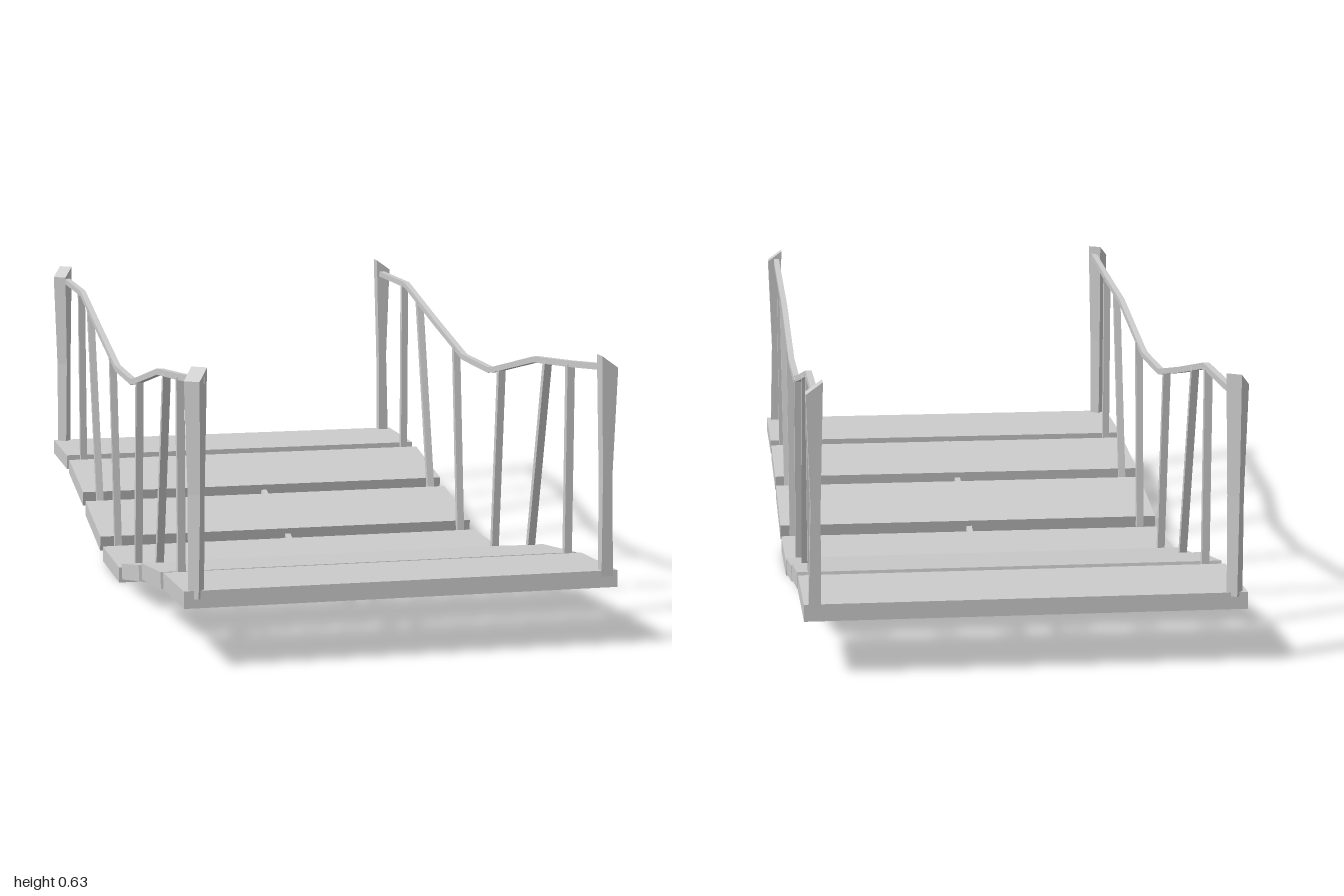
import * as THREE from 'three';

const mat = new THREE.MeshStandardMaterial({ color: 0xcccccc, flatShading: true });

function add(parent, geometry, name) {
  const mesh = new THREE.Mesh(geometry, mat);
  mesh.name = name;
  parent.add(mesh);
  return mesh;
}

// Square bar running through [z, y] points, centred on x
function ribbon(points, x, size) {
  const h = size / 2;
  const upper = points.map(([z, y]) => new THREE.Vector2(z, y + h));
  const lower = points.map(([z, y]) => new THREE.Vector2(z, y - h)).reverse();
  const geo = new THREE.ExtrudeGeometry(new THREE.Shape([...upper, ...lower]), { depth: size, bevelEnabled: false });
  return geo.rotateY(-Math.PI / 2).translate(x + h, 0, 0);
}

// Straight square bar between two [z, y] points
function addBar(parent, a, b, x, size, name) {
  const dz = b[0] - a[0], dy = b[1] - a[1];
  const bar = add(parent, new THREE.BoxGeometry(size, Math.hypot(dz, dy), size), name);
  bar.position.set(x, (a[1] + b[1]) / 2, (a[0] + b[0]) / 2);
  bar.rotation.x = Math.atan2(dz, dy);
}

// Waisted post with a top that slopes down towards local +x
function postGeometry() {
  const geo = new THREE.BoxGeometry(1, 2, 1, 1, 2, 1);
  const p = geo.attributes.position;
  for (let i = 0; i < p.count; i++) {
    const x = p.getX(i), z = p.getZ(i), level = Math.round(p.getY(i));
    const width = [0.026, 0.021, 0.036][level + 1];
    const depth = [0.025, 0.029, 0.036][level + 1];
    const shift = [0.004, 0, 0][level + 1];
    const y = [0.15, 0.37, 0.622 - x * 0.026][level + 1];
    p.setXYZ(i, x * width + shift, y, z * depth);
  }
  geo.computeVertexNormals();
  return geo;
}

export function createModel() {
  const model = new THREE.Group();
  model.name = 'hangingBridge';

  // Deck planks: centre z, height at front end, height at back end
  const planks = [
    [0.861, 0.149, 0.136], [0.581, 0.13, 0.098], [0.295, 0.085, 0.036],
    [0.005, 0.0185, 0.0185],
    [-0.283, 0.035, 0.079], [-0.568, 0.094, 0.136], [-0.857, 0.14, 0.14],
  ];
  const length = 0.248;
  for (const [z, front, back] of planks) {
    const plank = add(model, new THREE.BoxGeometry(0.95, 0.037, length), 'plank');
    plank.position.set(0, (front + back) / 2, z);
    plank.rotation.x = -Math.atan2(front - back, length);
  }

  // Rope under the deck, threaded through the middle of the planks
  const rope = planks.flatMap(([z, f, b]) => [[z + 0.115, f], [z - 0.115, b]]);
  add(model, ribbon(rope, 0, 0.014), 'deckRope');

  // Handrails with leaning balusters
  const rail = [
    [0.98, 0.61], [0.73, 0.582], [0.48, 0.557], [0.17, 0.49], [0.115, 0.48],
    [-0.115, 0.48], [-0.39, 0.535], [-0.68, 0.597], [-0.97, 0.597],
  ];
  const balusters = [
    [[0.73, 0.582], [0.73, 0.135]], [[0.565, 0.563], [0.45, 0.09]],
    [[0.205, 0.495], [0.163, 0.03]], [[-0.192, 0.495], [-0.14, 0.03]],
    [[-0.55, 0.568], [-0.425, 0.08]], [[-0.707, 0.595], [-0.707, 0.138]],
  ];
  for (const [x, name] of [[0.444, 'left'], [-0.434, 'right']]) {
    const side = new THREE.Group();
    side.name = name + 'Railing';
    model.add(side);
    add(side, ribbon(rail, x, 0.014), 'handrail');
    for (const [top, bottom] of balusters) addBar(side, bottom, top, x, 0.017, 'baluster');
  }

  // Corner posts, the right pair twisted
  const post = postGeometry();
  for (const [x, z, turn] of [
    [0.448, 0.972, 0], [0.448, -0.97, 0], [-0.445, 0.97, -2.21], [-0.445, -0.975, -2.21],
  ]) {
    const mesh = add(model, post, 'cornerPost');
    mesh.position.set(x, 0, z);
    mesh.rotation.y = turn;
  }
  return model;
}
